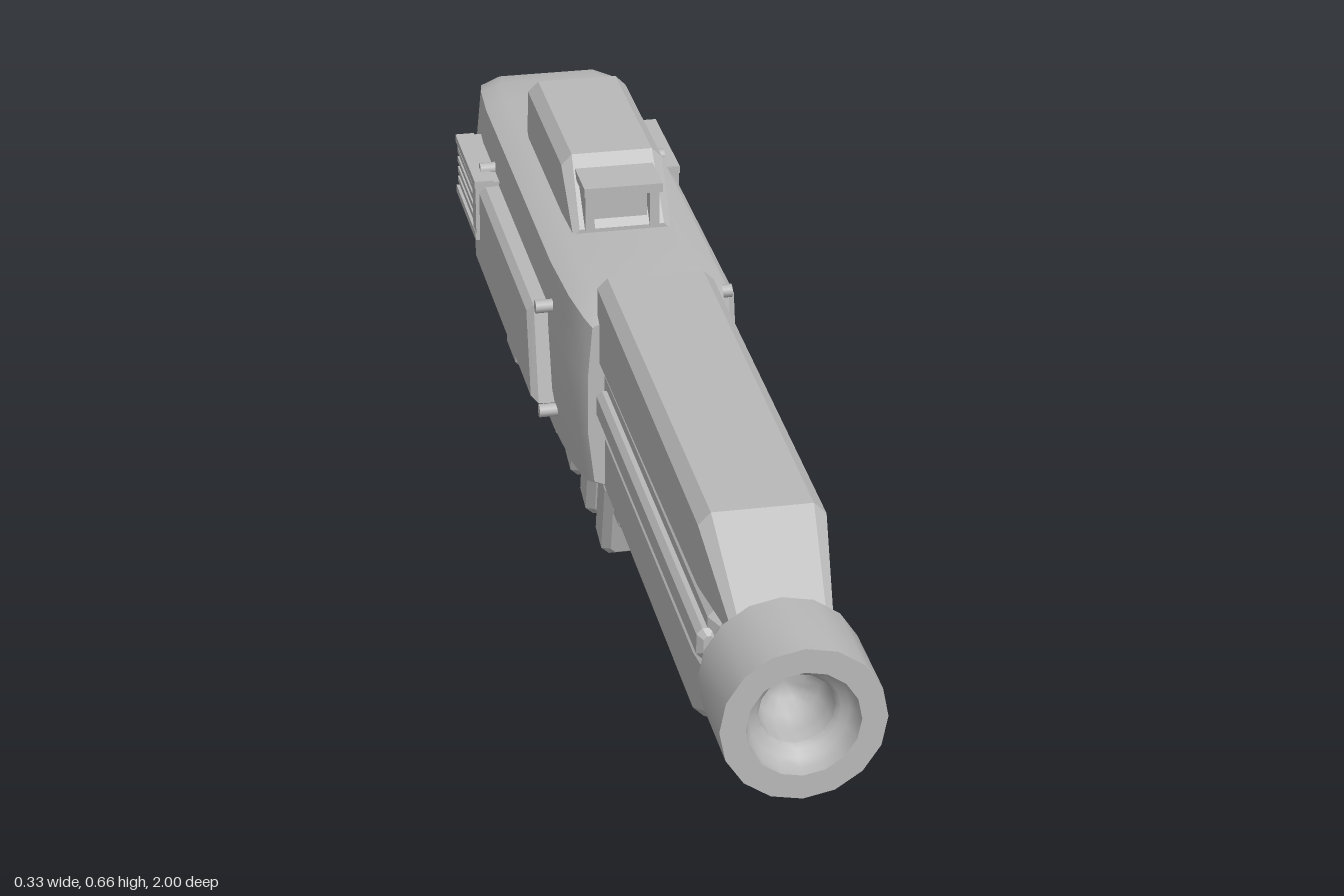
import * as THREE from 'three';
import { toCreasedNormals } from 'three/addons/utils/BufferGeometryUtils.js';

const grey = new THREE.MeshStandardMaterial({ color: 0xb8b8b8 });
grey.name = 'grey metal';

// Skin counter-clockwise [x, y] rings placed at rising z, closed by end caps.
function loft(stations, crease = 0.3) {
  const n = stations[0].ring.length, pos = [], idx = [];
  for (const { z, ring } of stations) for (const [x, y] of ring) pos.push(x, y, z);
  for (let s = 0; s < stations.length - 1; s++) {
    for (let i = 0; i < n; i++) {
      const a = s * n + i, b = s * n + (i + 1) % n;
      idx.push(a, b, b + n, a, b + n, a + n);
    }
  }
  const last = (stations.length - 1) * n;
  for (let i = 1; i < n - 1; i++) idx.push(0, i + 1, i, last, last + i, last + i + 1);
  const g = new THREE.BufferGeometry();
  g.setAttribute('position', new THREE.Float32BufferAttribute(pos, 3));
  g.setIndex(idx);
  return toCreasedNormals(g, crease);
}

// Octagonal ring: a rectangle with separate bottom and top corner cuts.
function oct(hw, y0, y1, cb, ct = cb) {
  return [[hw - cb, y0], [hw, y0 + cb], [hw, y1 - ct], [hw - ct, y1],
    [ct - hw, y1], [-hw, y1 - ct], [-hw, y0 + cb], [cb - hw, y0]];
}

// Box with every edge chamfered, centred on the origin.
function chamferBox(w, h, d, c) {
  const full = oct(w / 2, -h / 2, h / 2, c);
  const small = oct(w / 2 - c, c - h / 2, h / 2 - c, c * 0.6);
  return loft([{ z: -d / 2, ring: small }, { z: c - d / 2, ring: full },
    { z: d / 2 - c, ring: full }, { z: d / 2, ring: small }]);
}

export function createModel() {
  const model = new THREE.Group();
  model.name = 'blaster';
  const add = (name, geo, x = 0, y = 0, z = 0) => {
    const m = new THREE.Mesh(geo, grey);
    m.name = name;
    m.position.set(x, y, z);
    model.add(m);
    return m;
  };

  // Receiver body, rounded in at both ends
  const half = [[0.08, 0.262], [0.117, 0.275], [0.128, 0.36], [0.128, 0.46], [0.119, 0.548], [0.085, 0.562]];
  const section = [...half, ...half.map(([x, y]) => [-x, y]).reverse()];
  const bodyStations = [[-0.885, 0.8, 0.88], [-0.865, 0.9, 0.94], [-0.82, 0.96, 0.985], [-0.74, 1, 1],
    [-0.15, 1, 1], [-0.03, 0.95, 0.99], [0.04, 0.87, 0.96], [0.06, 0.8, 0.91]];
  add('receiverBody', loft(bodyStations.map(([z, sx, sy]) => ({
    z, ring: section.map(([x, y]) => [x * sx, 0.413 + (y - 0.413) * sy]),
  })), 0.5));

  // Barrel, core and hollow muzzle
  const barrel = new THREE.CylinderGeometry(0.073, 0.073, 0.85, 16).rotateX(Math.PI / 2);
  add('barrel', barrel, 0, 0.416, 0.45);
  add('barrelCore', chamferBox(0.156, 0.11, 0.75, 0.015), 0, 0.418, 0.42);
  const muzzle = [[0, 0.865], [0.109, 0.865], [0.109, 1], [0.075, 1], [0.073, 0.985], [0.066, 0.973],
    [0.056, 0.967], [0.05, 0.96], [0.05, 0.93], [0.042, 0.908], [0.025, 0.893], [0, 0.887]];
  const muzzleGeo = new THREE.LatheGeometry(muzzle.map(([r, z]) => new THREE.Vector2(r, z)), 16);
  add('muzzle', toCreasedNormals(muzzleGeo.rotateX(Math.PI / 2), 0.7), 0, 0.416, 0);

  // Upper and lower barrel shrouds with sloped noses
  add('upperShroud', loft([
    { z: 0.045, ring: oct(0.085, 0.47, 0.605, 0.008, 0.015) },
    { z: 0.75, ring: oct(0.085, 0.48, 0.594, 0.008, 0.017) },
    { z: 0.865, ring: oct(0.068, 0.474, 0.505, 0.005, 0.01) },
  ]));
  add('lowerShroud', loft([
    { z: 0.03, ring: oct(0.078, 0.262, 0.362, 0.015, 0.006) },
    { z: 0.69, ring: oct(0.078, 0.255, 0.36, 0.015, 0.006) },
    { z: 0.845, ring: oct(0.066, 0.335, 0.365, 0.008, 0.004) },
  ]));

  // Sight housing and front sight
  add('sightHousing', loft([
    { z: -0.612, ring: oct(0.074, 0.54, 0.568, 0.004, 0.01) },
    { z: -0.582, ring: oct(0.077, 0.54, 0.656, 0.004, 0.016) },
    { z: -0.29, ring: oct(0.077, 0.54, 0.656, 0.004, 0.016) },
    { z: -0.21, ring: oct(0.074, 0.54, 0.568, 0.004, 0.01) },
  ]));
  add('sightHood', new THREE.BoxGeometry(0.118, 0.014, 0.1), 0, 0.632, -0.246);
  add('sightBlock', new THREE.BoxGeometry(0.08, 0.065, 0.07), 0, 0.593, -0.255);
  for (const s of [1, -1]) add('sightPost', new THREE.BoxGeometry(0.014, 0.06, 0.08), s * 0.049, 0.597, -0.246);

  // Foregrip rail with five slanted ribs
  add('foregripRail', chamferBox(0.128, 0.055, 0.67, 0.012), 0, 0.243, -0.232);
  for (let i = 0; i < 5; i++) {
    const rib = add('foregripRib', chamferBox(0.154, 0.14, 0.07, 0.012), 0, 0.217, 0.013 - i * 0.128);
    rib.rotation.x = 0.25;
  }

  // Rear bracket and grip
  add('gripBracket', chamferBox(0.1, 0.075, 0.24, 0.012), 0, 0.241, -0.77);
  add('gripNeck', chamferBox(0.1, 0.09, 0.09, 0.012), 0, 0.252, -0.845);
  add('grip', chamferBox(0.106, 0.242, 0.124, 0.02), 0, 0.121, -0.938);

  // Side panel outline, drawn along z and y
  const panel = new THREE.Shape([[-0.115, 0.348], [-0.145, 0.475], [-0.63, 0.475], [-0.63, 0.348]]
    .map(([z, y]) => new THREE.Vector2(z, y)));
  const panelGeo = new THREE.ExtrudeGeometry(panel, {
    depth: 0.03, bevelEnabled: true, bevelSize: 0.01, bevelThickness: 0.01, bevelSegments: 1,
  }).translate(0, 0, -0.015).rotateY(-Math.PI / 2);

  for (const s of [1, -1]) {
    add('sidePanel', panelGeo, s * 0.132);
    add('barrelSideRail', chamferBox(0.03, 0.045, 0.72, 0.008), s * 0.078, 0.42, 0.43);

    // Vent: recessed plate, frame and slats
    add('ventPlate', new THREE.BoxGeometry(0.036, 0.095, 0.195), s * 0.135, 0.445, -0.679);
    for (const y of [0.489, 0.401]) add('ventFrame', new THREE.BoxGeometry(0.03, 0.012, 0.195), s * 0.149, y, -0.679);
    add('ventFrame', new THREE.BoxGeometry(0.03, 0.098, 0.03), s * 0.148, 0.445, -0.596);
    for (let i = 0; i < 4; i++) {
      add('ventSlat', new THREE.BoxGeometry(0.026, 0.009, 0.155), s * 0.149, 0.42 + i * 0.017, -0.695);
    }

    // Panel bolts
    for (const [z, y] of [[-0.12, 0.491], [-0.097, 0.331], [-0.655, 0.331], [-0.63, 0.495]]) {
      const bolt = new THREE.CylinderGeometry(0.01, 0.01, 0.036, 10).rotateZ(Math.PI / 2);
      add('panelBolt', bolt, s * 0.13, y, z);
    }
  }
  return model;
}
